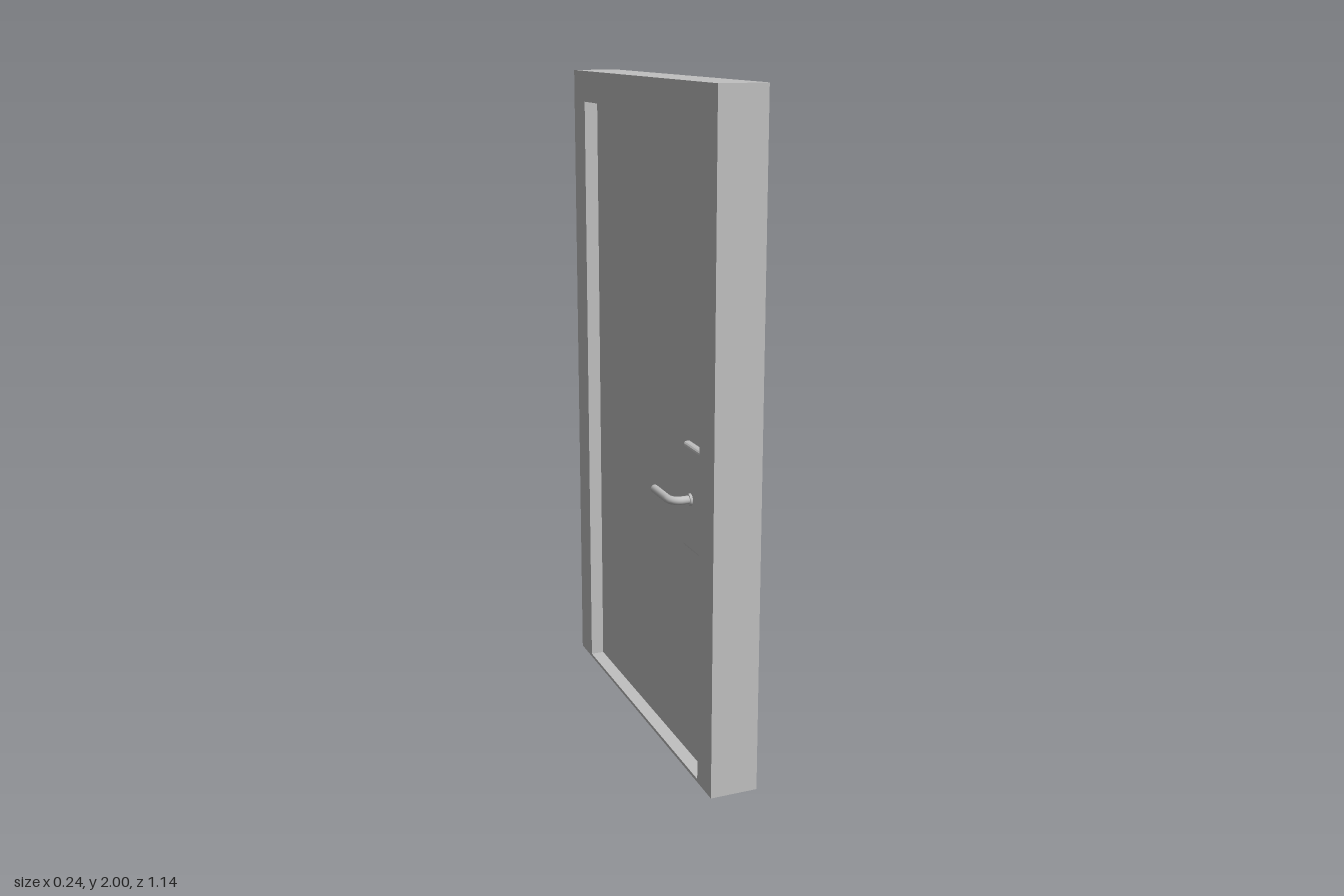
import * as THREE from 'three';

const grey = new THREE.MeshStandardMaterial({ color: 0xc0c0c0 });
grey.name = 'grey';

const DOOR_FACE = 0.03;   // half thickness of the door leaf
const LEVER_Y = 0.833;
const LEVER_Z = 0.357;

function part(name, geometry, parent) {
  const mesh = new THREE.Mesh(geometry, grey);
  mesh.name = name;
  parent.add(mesh);
  return mesh;
}

function rectangle(path, w, y0, y1) {
  path.moveTo(-w, y0);
  path.lineTo(w, y0);
  path.lineTo(w, y1);
  path.lineTo(-w, y1);
  path.closePath();
  return path;
}

// Surround with jambs, head and a thin sill
function frameGeometry() {
  const shape = rectangle(new THREE.Shape(), 0.57, 0, 2);
  shape.holes.push(rectangle(new THREE.Path(), 0.47, 0.01, 1.905));
  const g = new THREE.ExtrudeGeometry(shape, { depth: 0.144, bevelEnabled: false });
  return g.translate(0, 0, -0.072).rotateY(Math.PI / 2);
}

// Backplate, collar and bent lever for one face of the door
function handle(side) {
  const group = new THREE.Group();
  group.name = side > 0 ? 'leftHandle' : 'rightHandle';

  const plate = new THREE.ExtrudeGeometry(
    rectangle(new THREE.Shape(), 0.055, -0.147, 0.147),
    { depth: 0.01, bevelThickness: 0.01, bevelSize: 0.01, bevelSegments: 3 });
  plate.rotateY(side * Math.PI / 2);
  part('backplate', plate, group).position.set(side * DOOR_FACE, 0.833, 0.363);

  const collar = new THREE.CylinderGeometry(0.016, 0.018, 0.008, 24);
  collar.rotateZ(-side * Math.PI / 2);
  part('collar', collar, group).position.set(side * 0.053, LEVER_Y, LEVER_Z);

  // The lever comes straight out, turns a rounded corner and runs along the door
  const p = (x, z) => new THREE.Vector3(side * x, LEVER_Y, z);
  const path = new THREE.CurvePath();
  path.add(new THREE.LineCurve3(p(0.04, LEVER_Z), p(0.078, LEVER_Z)));
  path.add(new THREE.CubicBezierCurve3(
    p(0.078, LEVER_Z), p(0.095, LEVER_Z), p(0.109, 0.343), p(0.109, 0.326)));
  path.add(new THREE.LineCurve3(p(0.109, 0.326), p(0.109, 0.225)));
  part('lever', new THREE.TubeGeometry(path, 48, 0.012, 16), group);

  const cap = new THREE.CircleGeometry(0.012, 16).rotateY(Math.PI);
  part('leverEnd', cap, group).position.set(side * 0.109, LEVER_Y, 0.225);
  return group;
}

export function createModel() {
  const model = new THREE.Group();
  model.name = 'door';
  part('frame', frameGeometry(), model);
  part('doorLeaf', new THREE.BoxGeometry(2 * DOOR_FACE, 1.895, 0.94), model)
    .position.y = 0.9575;
  for (const side of [1, -1]) model.add(handle(side));
  return model;
}
